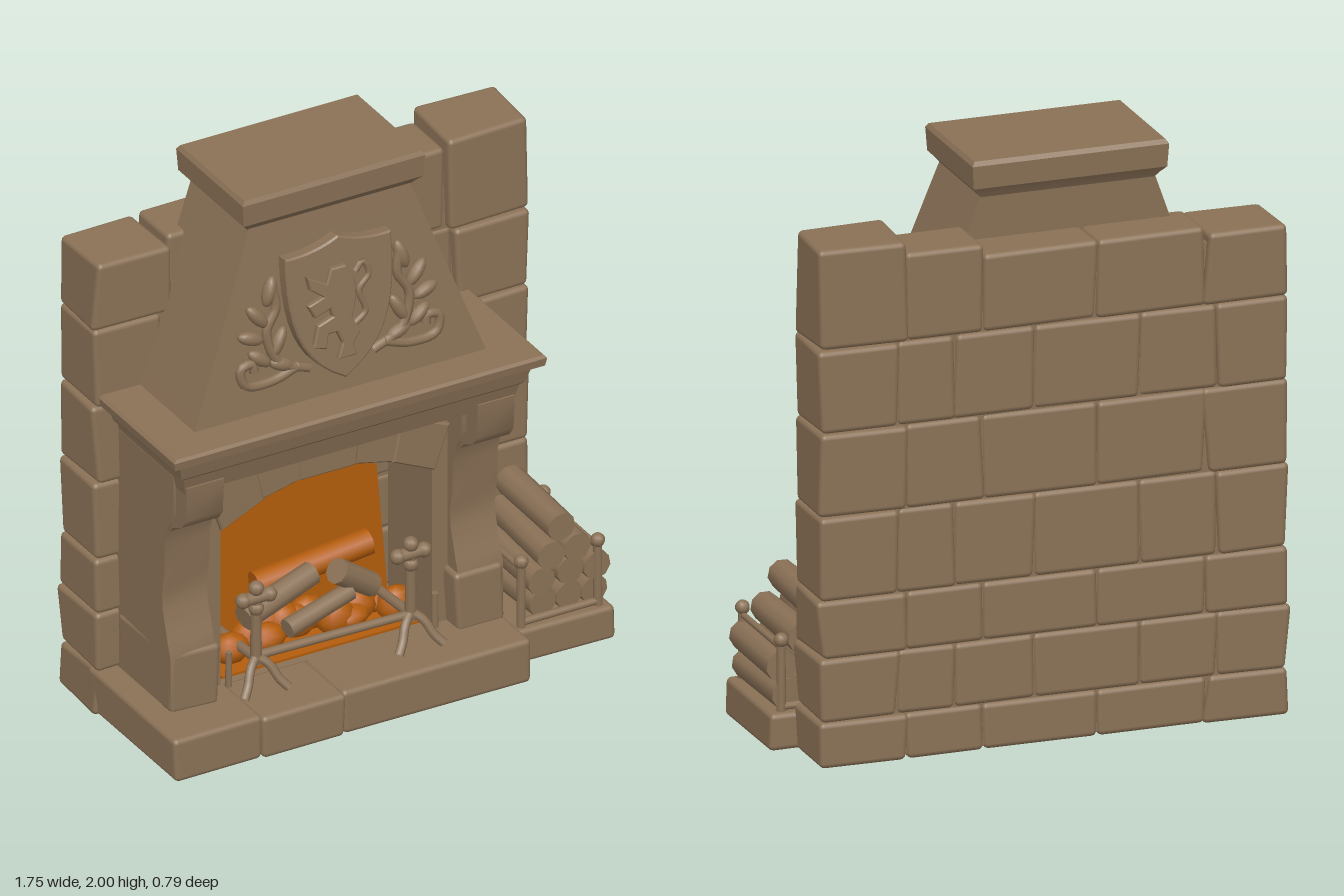
import * as THREE from 'three';
import { toCreasedNormals } from 'three/addons/utils/BufferGeometryUtils.js';
import { RoundedBoxGeometry } from 'three/addons/geometries/RoundedBoxGeometry.js';

const CX = -0.15; // centre line of the hearth and chimney
const V2 = (p) => new THREE.Vector2(p[0], p[1]);
const V3 = (p) => new THREE.Vector3(p[0], p[1], p[2] || 0);

export function createModel() {
  const root = new THREE.Group();
  root.name = 'fireplace';
  const stone = new THREE.MeshStandardMaterial({ color: 0x8a7156 });
  stone.name = 'brown stone';
  const fire = new THREE.MeshStandardMaterial({ color: 0xb35c0c });
  fire.name = 'ember orange';

  let seed = 7;
  const rnd = () => (seed = (seed * 16807) % 2147483647) / 2147483647;

  const add = (name, geo, mat = stone, parent = root) => {
    const m = new THREE.Mesh(geo, mat);
    m.name = name;
    parent.add(m);
    return m;
  };
  const group = (name, parent = root) => {
    const g = new THREE.Group();
    g.name = name;
    parent.add(g);
    return g;
  };
  // Worn block: a rounded box whose faces tilt slightly
  const block = (name, x0, x1, y0, y1, z0, z1, parent, wear = 0.008) => {
    const geo = new RoundedBoxGeometry(x1 - x0, y1 - y0, z1 - z0, 2, 0.018);
    const p = geo.attributes.position;
    const [a, b, c, d] = [0, 0, 0, 0].map(() => (rnd() - 0.5) * 2 * wear);
    for (let i = 0; i < p.count; i++) {
      const u = p.getX(i) / (x1 - x0) * 2, v = p.getY(i) / (y1 - y0) * 2, w = p.getZ(i) / (z1 - z0) * 2;
      p.setXYZ(i, p.getX(i) + a * v * u + b * w * v, p.getY(i), p.getZ(i) + c * u * w + d * v * w);
    }
    const m = add(name, geo, stone, parent);
    m.position.set((x0 + x1) / 2, (y0 + y1) / 2, (z0 + z1) / 2);
    return m;
  };
  // Solid through stacked rectangles [y, x0, x1, z0, z1]
  const loft = (sections) => {
    const pos = [], idx = [];
    sections.forEach(([y, x0, x1, z0, z1]) => pos.push(x0, y, z1, x1, y, z1, x1, y, z0, x0, y, z0));
    for (let i = 0; i < sections.length - 1; i++) {
      for (let k = 0; k < 4; k++) {
        const a = i * 4 + k, b = i * 4 + (k + 1) % 4;
        idx.push(a, b, a + 4, b, b + 4, a + 4);
      }
    }
    const t = (sections.length - 1) * 4;
    idx.push(0, 2, 1, 0, 3, 2, t, t + 1, t + 2, t, t + 2, t + 3);
    const geo = new THREE.BufferGeometry();
    geo.setAttribute('position', new THREE.Float32BufferAttribute(pos, 3));
    geo.setIndex(idx);
    return toCreasedNormals(geo, 0.5);
  };
  const extrude = (shape, depth, bevel = 0) => new THREE.ExtrudeGeometry(shape, {
    depth, bevelEnabled: bevel > 0, bevelSize: bevel, bevelThickness: bevel, bevelSegments: 1, curveSegments: 10 });
  const poly = (pts) => new THREE.Shape(pts.map(V2));
  const tube = (pts, r, n = 20) => new THREE.TubeGeometry(new THREE.CatmullRomCurve3(pts.map(V3)), n, r, 7);

  // Back wall: courses of blocks with larger corner stones
  const wall = group('backWall');
  const rows = [0, 0.16, 0.38, 0.58, 0.87, 1.16, 1.45, 1.72];
  add('wallCore', new THREE.BoxGeometry(1.58, 1.65, 0.19), stone, wall).position.set(-0.045, 0.84, -0.27);
  for (let i = 0; i < 7; i++) {
    const y0 = rows[i], y1 = rows[i + 1], last = i === 6;
    const split = i % 2 ? [-0.62, -0.35, 0.02, 0.3, 0.5] : [-0.58, -0.2, 0.2, 0.47];
    block('leftCornerStone', -0.867, split[0], y0, last ? 1.7 : y1, -0.385, -0.14, wall);
    block('rightCornerStone', split[split.length - 1], 0.775, y0, last ? 1.8 : y1, -0.385, -0.14, wall);
    for (let k = 0; k < split.length - 1; k++) {
      block('wallStone', split[k], split[k + 1], y0, last && k === 2 ? 1.755 : y1, -0.378, -0.167, wall, 0.004);
    }
  }

  // Hearth slab and the small base for the firewood
  const hearth = group('hearth');
  block('hearthStone', -0.865, -0.53, 0, 0.16, -0.2, 0.38, hearth, 0.004);
  block('hearthStone', -0.535, -0.22, 0, 0.157, -0.2, 0.388, hearth, 0.004);
  block('hearthStone', -0.225, 0.485, 0, 0.162, -0.2, 0.38, hearth, 0.004);
  block('firewoodBase', 0.47, 0.865, 0, 0.13, -0.15, 0.27, hearth, 0.004);

  // Surround with an arched opening, and arch stones above it
  const opening = [[-0.55, 0.16], [-0.55, 0.76], [-0.4, 0.83], [-0.25, 0.865], [-0.05, 0.865], [0.1, 0.83], [0.25, 0.76], [0.25, 0.16]];
  const surround = poly([[-0.66, 0.15], [0.36, 0.15], [0.36, 1.06], [-0.66, 1.06]]);
  surround.holes.push(new THREE.Path(opening.map(V2)));
  add('firebox', extrude(surround, 0.29)).position.z = -0.16;
  for (let i = 1; i < 6; i++) {
    const [a, b] = [opening[i], opening[i + 1]];
    const lift = (p) => [CX + (p[0] - CX) * 1.13, Math.min(p[1] + 0.15, 1.0)];
    add('archStone', extrude(poly([a, b, lift(b), lift(a)]), 0.016, 0.006)).position.z = 0.12 + (i % 2) * 0.007;
  }

  // Jambs with curved profiles, each carrying a narrower corbel
  const jambProfile = [[-0.16, 0.15], [0.2, 0.15], [0.2, 0.36], [0.18, 0.42], [0.15, 0.52], [0.145, 0.58], [0.16, 0.66],
    [0.165, 0.78], [0.185, 0.85], [0.22, 0.92], [0.22, 1.06], [-0.16, 1.06]];
  const corbelProfile = [[0.1, 0.7], [0.16, 0.78], [0.17, 0.82], [0.2, 0.855], [0.26, 0.885], [0.285, 0.92], [0.295, 1.05], [0.1, 1.05]];
  const sideExtrude = (pts, w) => toCreasedNormals(extrude(poly(pts), w).rotateY(-Math.PI / 2).translate(w / 2, 0, 0), 0.6);
  for (const s of [-1, 1]) {
    add('jamb', sideExtrude(jambProfile, 0.17)).position.x = CX + s * 0.545;
    add('corbel', sideExtrude(corbelProfile, 0.14)).position.x = CX + s * 0.55;
    block('jambFoot', CX + s * 0.54 - 0.09, CX + s * 0.54 + 0.09, 0.15, 0.37, -0.15, 0.21);
  }

  // Mantel shelf, hood and chimney cap
  const ring = (y, hw, z1, z0) => [y, CX - hw, CX + hw, z0, z1];
  add('mantel', loft([ring(1.02, 0.62, 0.28, -0.18), ring(1.09, 0.635, 0.3, -0.18), ring(1.1, 0.65, 0.31, -0.18),
    ring(1.155, 0.665, 0.325, -0.18), ring(1.17, 0.7, 0.355, -0.18), ring(1.2, 0.705, 0.36, -0.18), ring(1.21, 0.695, 0.352, -0.18)]));
  add('hood', loft([ring(1.2, 0.555, 0.225, -0.2), ring(1.45, 0.46, 0.2, -0.21), ring(1.89, 0.3, 0.15, -0.23)]));
  add('chimneyCap', loft([ring(1.86, 0.3, 0.14, -0.225), ring(1.885, 0.32, 0.16, -0.24), ring(1.905, 0.34, 0.178, -0.255),
    ring(1.985, 0.345, 0.183, -0.26), ring(2, 0.335, 0.174, -0.25)]));

  // Carved crest, leaning with the hood
  const crest = group('crest');
  crest.position.set(CX, 1.5, 0.192);
  crest.rotation.x = -0.11;
  const shieldPath = (k, Type) => {
    const s = new Type();
    s.moveTo(0, 0.28 * k);
    s.quadraticCurveTo(0.09 * k, 0.24 * k, 0.195 * k, 0.245 * k);
    s.bezierCurveTo(0.2 * k, 0.02 * k, 0.17 * k, -0.13 * k, 0, -0.22 * k);
    s.bezierCurveTo(-0.17 * k, -0.13 * k, -0.2 * k, 0.02 * k, -0.195 * k, 0.245 * k);
    s.quadraticCurveTo(-0.09 * k, 0.24 * k, 0, 0.28 * k);
    return s;
  };
  add('shield', extrude(shieldPath(0.95, THREE.Shape), 0.03), stone, crest);
  const rim = shieldPath(1, THREE.Shape);
  rim.holes.push(shieldPath(0.84, THREE.Path));
  add('shieldRim', extrude(rim, 0.042, 0.006), stone, crest);
  const beast = [[0.02, 0.17], [0.05, 0.12], [0.05, 0.05], [0.03, -0.02], [0.06, -0.07], [0.03, -0.11], [0.04, -0.15], [-0.02, -0.15],
    [0, -0.1], [-0.02, -0.05], [-0.06, -0.05], [-0.07, -0.1], [-0.11, -0.09], [-0.09, -0.02], [-0.03, 0.0], [-0.04, 0.04],
    [-0.1, 0.02], [-0.12, 0.06], [-0.06, 0.08], [-0.11, 0.12], [-0.12, 0.16], [-0.05, 0.12], [-0.03, 0.17]];
  add('carvedBeast', extrude(poly(beast.reverse()), 0.018, 0.005), stone, crest).position.z = 0.028;
  add('beastTail', tube([[0.04, -0.05, 0.04], [0.09, -0.01, 0.04], [0.07, 0.07, 0.04], [0.11, 0.12, 0.04], [0.09, 0.17, 0.04], [0.06, 0.14, 0.04]], 0.011), stone, crest);
  const leafGeo = new THREE.SphereGeometry(1, 12, 8);
  for (const s of [-1, 1]) {
    const scroll = group('leafScroll', crest);
    add('stem', tube([[s * 0.12, -0.17, 0.015], [s * 0.23, -0.12, 0.015], [s * 0.27, 0, 0.015], [s * 0.23, 0.08, 0.015], [s * 0.24, 0.16, 0.015]], 0.017), stone, scroll);
    add('curl', tube([[s * 0.16, -0.15, 0.015], [s * 0.26, -0.18, 0.015], [s * 0.36, -0.17, 0.015], [s * 0.375, -0.11, 0.015], [s * 0.33, -0.1, 0.015], [s * 0.325, -0.13, 0.015]], 0.017), stone, scroll);
    [[0.25, 0.14, 0.3, 0.055], [0.3, 0.06, -0.7, 0.055], [0.33, -0.01, -1.2, 0.05], [0.23, -0.05, 0.5, 0.06], [0.3, -0.09, -0.9, 0.05], [0.22, -0.13, -1.2, 0.05]]
      .forEach(([x, y, a, l]) => {
        const leaf = add('leaf', leafGeo, stone, scroll);
        leaf.position.set(s * x, y, 0.012);
        leaf.scale.set(0.024, l, 0.024);
        leaf.rotation.z = s * a;
      });
  }

  // Glowing back and ember bed
  const glow = [[-0.53, 0.17], [-0.5, 0.6], [-0.44, 0.68], [-0.36, 0.7], [-0.27, 0.8], [-0.21, 0.86], [-0.05, 0.86], [0.09, 0.83], [0.12, 0.73], [0.2, 0.64], [0.24, 0.17]];
  add('glowingBack', new THREE.ShapeGeometry(poly(glow.reverse())), fire).position.z = -0.148;
  add('emberFloor', new THREE.BoxGeometry(0.76, 0.009, 0.25), fire).position.set(CX, 0.168, -0.02);
  for (let i = 0; i < 14; i++) {
    const e = add('ember', new THREE.IcosahedronGeometry(1, 1), fire);
    e.position.set(-0.47 + i * 0.05, 0.2 + rnd() * 0.05, -0.06 + rnd() * 0.12);
    e.scale.set(0.07, 0.04 + rnd() * 0.03, 0.055);
  }

  // Log between two points
  const log = (name, a, b, r, mat, parent) => {
    const [p, q] = [V3(a), V3(b)];
    const m = add(name, new THREE.CylinderGeometry(r * 0.93, r, p.distanceTo(q), 9), mat, parent);
    m.position.copy(p).add(q).multiplyScalar(0.5);
    m.quaternion.setFromUnitVectors(new THREE.Vector3(0, 1, 0), q.sub(p).normalize());
    return m;
  };
  const burning = group('burningLogs');
  log('burningLog', [-0.42, 0.34, 0.06], [-0.13, 0.4, 0.0], 0.045, stone, burning);
  log('burningLog', [-0.07, 0.42, 0.06], [0.08, 0.31, 0.03], 0.045, stone, burning);
  log('burningLog', [-0.28, 0.28, 0.1], [-0.02, 0.33, 0.06], 0.035, stone, burning);
  log('glowingLog', [-0.3, 0.36, -0.08], [0.12, 0.42, -0.06], 0.05, fire, burning);

  // Andirons joined by a grate bar
  const irons = group('andirons');
  for (const x of [-0.455, 0.13]) {
    const iron = group('andiron', irons);
    iron.position.set(x, 0, 0.2);
    log('post', [0, 0.25, 0], [0, 0.5, 0], 0.02, stone, iron);
    log('finialArm', [-0.055, 0.5, 0], [0.055, 0.5, 0], 0.023, stone, iron);
    for (const [px, py] of [[-0.05, 0.5], [0.05, 0.5], [0, 0.535], [0, 0.46]]) {
      add('finialKnob', new THREE.SphereGeometry(0.027, 9, 7), stone, iron).position.set(px, py, 0);
    }
    for (const s of [-1, 1]) {
      add('foot', tube([[0, 0.28, 0], [s * 0.035, 0.25, 0.025], [s * 0.06, 0.2, 0.05], [s * 0.085, 0.17, 0.07]], 0.016, 10), stone, iron);
    }
    log('logBar', [0, 0.27, 0], [0, 0.25, -0.28], 0.018, stone, iron);
  }
  log('grateBar', [-0.455, 0.28, 0.2], [0.13, 0.27, 0.2], 0.016, stone, irons);
  for (const x of [-0.53, 0.25]) log('grateEndPost', [x, 0.16, 0.15], [x, 0.29, 0.15], 0.012, stone, irons);

  // Stacked firewood in its rack
  const stack = group('firewoodStack');
  [[0.605, 0.19], [0.705, 0.19], [0.8, 0.185], [0.6, 0.285], [0.71, 0.285], [0.81, 0.28], [0.635, 0.38], [0.735, 0.37], [0.675, 0.47]]
    .forEach(([x, y]) => {
      const d = (rnd() - 0.5) * 0.04;
      log('firewoodLog', [x + d / 2, y, -0.11 + d], [x - d / 2, y, 0.245 + d], 0.055, stone, stack);
    });
  for (const z of [-0.12, 0.24]) {
    for (const x of [0.525, 0.815]) {
      log('rackPost', [x, 0.12, z], [x, 0.37, z], 0.016, stone, stack);
      add('rackKnob', new THREE.SphereGeometry(0.025, 9, 7), stone, stack).position.set(x, 0.375, z);
    }
    log('rackRail', [0.525, 0.145, z], [0.815, 0.145, z], 0.014, stone, stack);
  }
  for (const x of [0.525, 0.815]) log('rackSideRail', [x, 0.35, -0.12], [x, 0.35, 0.24], 0.012, stone, stack);
  return root;
}
